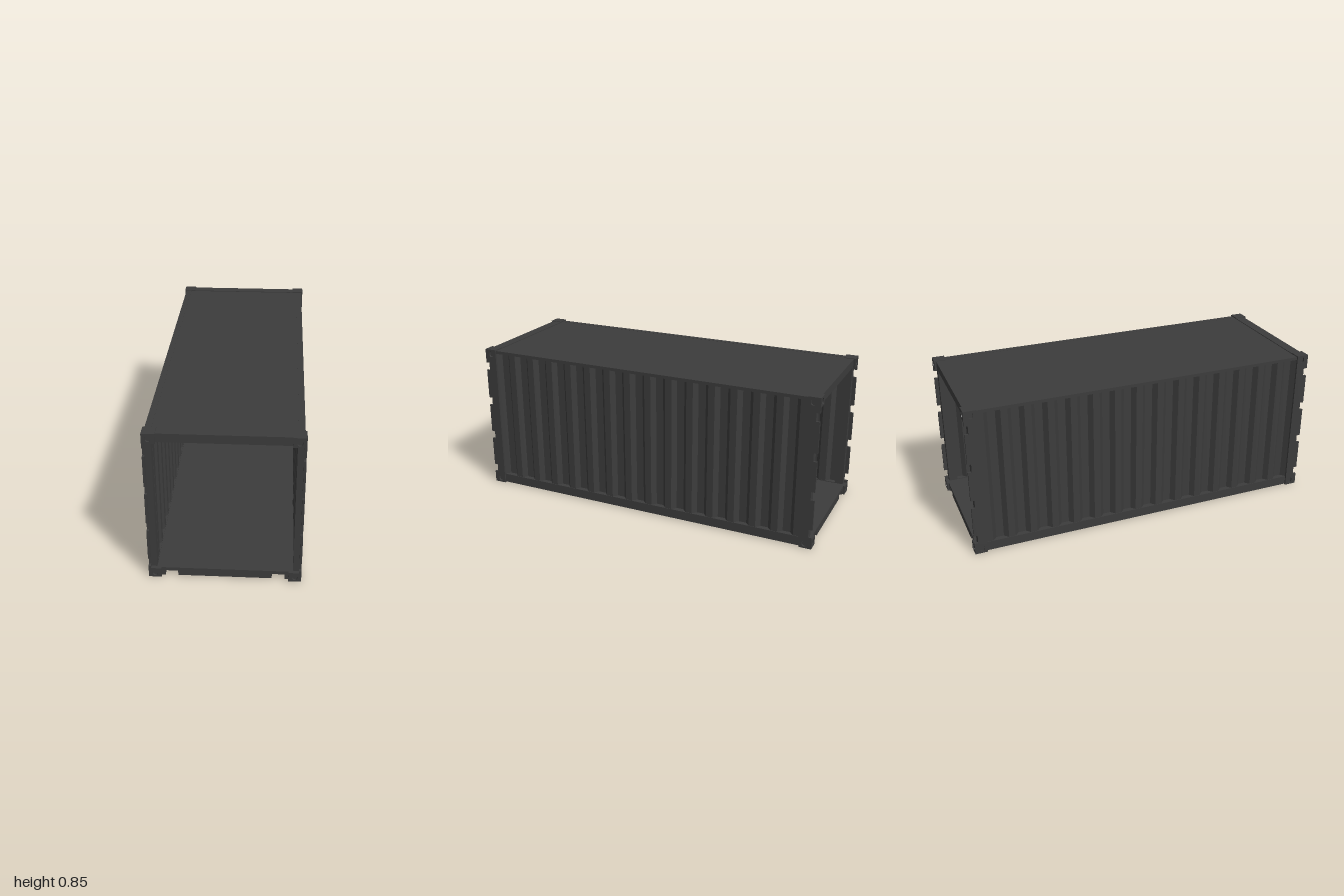
import * as THREE from 'three';

const material = new THREE.MeshStandardMaterial({ color: 0x3c3c3c, side: THREE.DoubleSide });
const W = 0.39, H = 0.845, L = 1;
const CAST = { x: 0.066, y: 0.053, z: 0.068 };

function add(parent, name, geometry) {
  const mesh = new THREE.Mesh(geometry, material);
  mesh.name = name;
  parent.add(mesh);
  return mesh;
}

// Box given by its limits on each axis
function box(parent, name, x0, x1, y0, y1, z0, z1) {
  const g = new THREE.BoxGeometry(Math.abs(x1 - x0), y1 - y0, z1 - z0);
  g.translate((x0 + x1) / 2, (y0 + y1) / 2, (z0 + z1) / 2);
  return add(parent, name, g);
}

// Plate centred on the origin with an upright rounded slot
function slottedPlate(w, h, depth) {
  const s = new THREE.Shape();
  s.moveTo(-w / 2, -h / 2).lineTo(w / 2, -h / 2).lineTo(w / 2, h / 2).lineTo(-w / 2, h / 2).closePath();
  const r = 0.013, k = 0.005;
  const slot = new THREE.Path();
  slot.absarc(0, k, r, 0, Math.PI, false);
  slot.absarc(0, -k, r, Math.PI, Math.PI * 2, false);
  slot.closePath();
  s.holes.push(slot);
  return new THREE.ExtrudeGeometry(s, { depth, bevelEnabled: false, curveSegments: 8 }).translate(0, 0, -depth / 2);
}

// Corner casting: solid core behind a slotted end plate and side plate
function casting(parent, side, y0) {
  const g = new THREE.Group();
  g.name = 'cornerCasting';
  const t = 0.01, yc = y0 + CAST.y / 2;
  box(g, 'castingCore', side * (W - CAST.x), side * (W - t), y0, y0 + CAST.y, L - CAST.z, L - t);
  add(g, 'castingEndPlate', slottedPlate(CAST.x, CAST.y, t))
    .position.set(side * (W - CAST.x / 2), yc, L - t / 2);
  const sidePlate = add(g, 'castingSidePlate', slottedPlate(CAST.z - t, CAST.y, t));
  sidePlate.rotation.y = Math.PI / 2;
  sidePlate.position.set(side * (W - t / 2), yc, L - t - (CAST.z - t) / 2);
  parent.add(g);
}

// Corner post: inner bar plus an outer plate with four hinge notches
function post(parent, side) {
  const y0 = CAST.y, y1 = H - CAST.y, zBack = L - CAST.z, zNotch = 0.98;
  box(parent, 'postInnerBar', side * 0.347, side * 0.378, y0, y1, zBack, zNotch);
  const s = new THREE.Shape();
  s.moveTo(zBack, y0).lineTo(L, y0);
  for (const yc of [0.09, 0.308, 0.524, 0.741]) {
    s.lineTo(L, yc - 0.023).lineTo(zNotch, yc - 0.023);
    s.lineTo(zNotch, yc + 0.023).lineTo(L, yc + 0.023);
  }
  s.lineTo(L, y1).lineTo(zBack, y1).closePath();
  const t = 0.012;
  const g = new THREE.ExtrudeGeometry(s, { depth: t, bevelEnabled: false });
  g.rotateY(-Math.PI / 2); // shape x becomes z, depth runs to -x
  g.translate(side > 0 ? W : -W + t, 0, 0);
  add(parent, 'postOuterPlate', g);
}

function endFrame(name) {
  const g = new THREE.Group();
  g.name = name;
  for (const side of [-1, 1]) {
    casting(g, side, 0);
    casting(g, side, H - CAST.y);
    post(g, side);
    // short leg of the sill beside each lift pocket
    box(g, 'sillLeg', side * 0.305, side * 0.325, 0.005, 0.034, 0.94, 0.988);
  }
  const x = W - CAST.x;
  box(g, 'header', -x, x, 0.796, 0.842, L - CAST.z, 0.989);
  box(g, 'sill', -x, x, 0.034, 0.053, L - CAST.z, 0.989);
  box(g, 'sillLowerBeam', -0.24, 0.24, 0.006, 0.034, 0.94, 0.988);
  return g;
}

// Corrugated wall: trapezoid wave in plan, raised between the rails
function corrugatedWall(parent, side) {
  const outer = 0.379, inner = 0.354, t = 0.004, n = 15, half = L - CAST.z;
  const pitch = 2 * half / n, line = [];
  for (let i = 0; i < n; i++) {
    const z = -half + i * pitch;
    line.push([z, outer], [z + pitch * 0.3, outer], [z + pitch * 0.48, inner], [z + pitch * 0.82, inner]);
  }
  line.push([half, outer]);
  const pts = line.map(([z, x]) => new THREE.Vector2(side * x, -z));
  line.reverse().forEach(([z, x]) => pts.push(new THREE.Vector2(side * (x - t), -z)));
  const g = new THREE.ExtrudeGeometry(new THREE.Shape(pts), { depth: 0.775, bevelEnabled: false });
  g.rotateX(-Math.PI / 2).translate(0, 0.05, 0);
  add(parent, 'corrugatedWall', g);
}

export function createModel() {
  const model = new THREE.Group();
  model.name = 'cargoContainer';
  const zEnd = L - CAST.z;

  // Matching open frames at both ends
  const back = endFrame('backFrame');
  back.rotation.y = Math.PI;
  model.add(endFrame('frontFrame'), back);

  // Long sides
  for (const side of [-1, 1]) {
    corrugatedWall(model, side);
    box(model, 'bottomRail', side * 0.348, side * 0.382, 0.004, 0.056, -zEnd, zEnd);
    box(model, 'topRail', side * 0.35, side * 0.382, 0.822, 0.839, -zEnd, zEnd);
  }

  // Roof and floor panels
  box(model, 'roof', -0.35, 0.35, 0.83, 0.838, -zEnd, zEnd);
  box(model, 'floor', -0.348, 0.348, 0.036, 0.052, -zEnd, zEnd);
  return model;
}
